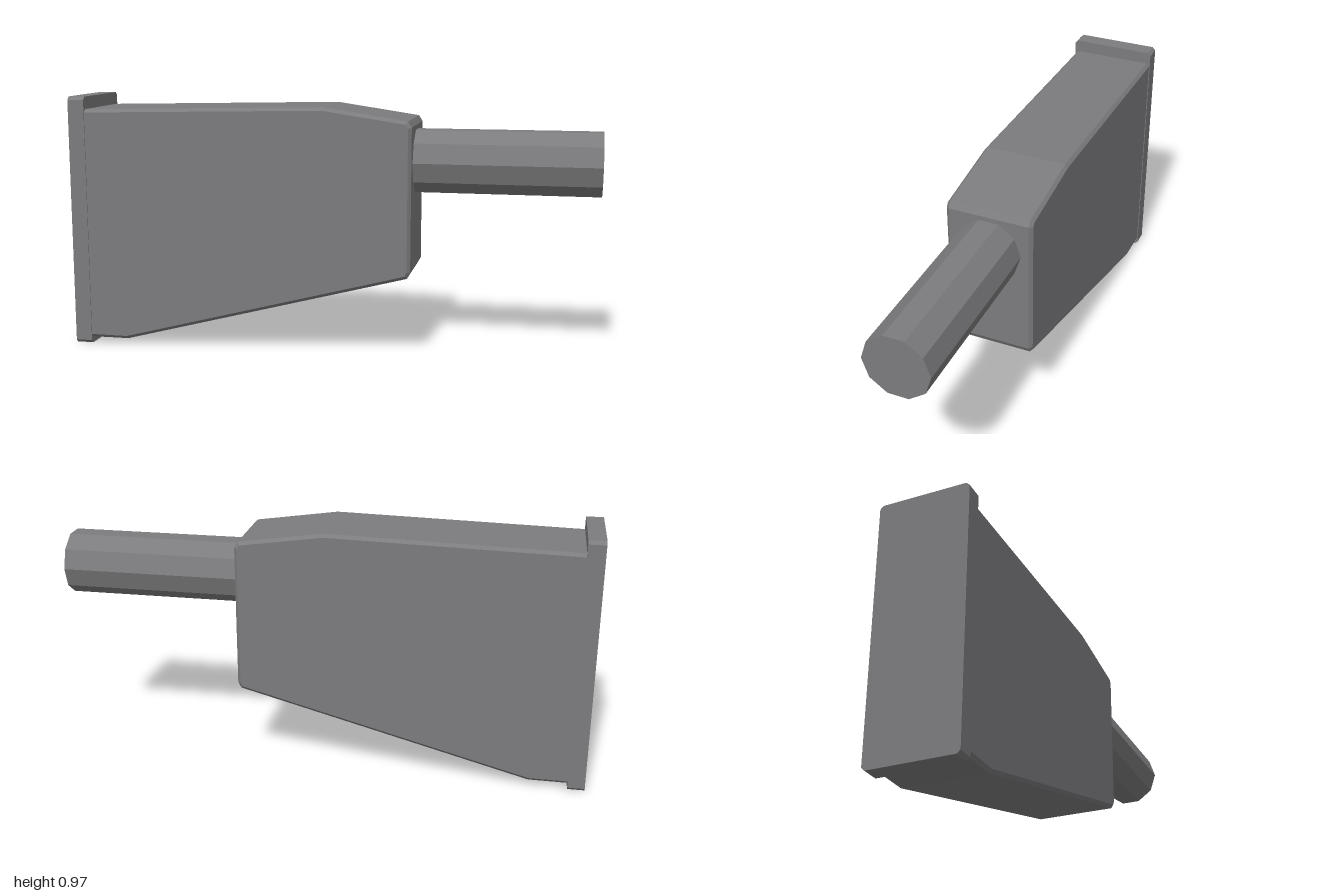
import * as THREE from 'three';

export function createModel() {
  const model = new THREE.Group();
  const grey = new THREE.MeshStandardMaterial({ color: 0x7c7c7e, flatShading: true });
  grey.name = 'grey';

  const add = (name, geometry) => {
    const mesh = new THREE.Mesh(geometry, grey);
    mesh.name = name;
    model.add(mesh);
  };
  const outline = (points) => new THREE.Shape(points.map(([x, y]) => new THREE.Vector2(x, y)));

  // Tapered body with chamfered side edges
  const halfDepth = 0.164, bevel = 0.012;
  const body = new THREE.ExtrudeGeometry(outline([
    [-0.95, 0.026], [-0.79, 0.026], [0.308, 0.314], [0.32, 0.336],
    [0.32, 0.872], [0.306, 0.894], [-0.01, 0.941], [-0.95, 0.92],
  ]), {
    depth: 2 * (halfDepth - bevel), bevelEnabled: true, bevelSegments: 1,
    bevelSize: bevel, bevelThickness: bevel, bevelOffset: -bevel,
  });
  body.translate(0, 0, -(halfDepth - bevel));
  add('body', body);

  // Rear flange: a plate with cut corners, extruded along x
  const w = 0.167, h = 0.483, c = 0.012;
  const flange = new THREE.ExtrudeGeometry(outline([
    [-w + c, -h], [w - c, -h], [w, -h + c], [w, h - c],
    [w - c, h], [-w + c, h], [-w, h - c], [-w, -h + c],
  ]), { depth: 0.064, bevelEnabled: false });
  flange.rotateY(Math.PI / 2).translate(-1, 0.485, 0);
  add('flange', flange);

  // Ten-sided rod out of the narrow end
  const rod = new THREE.CylinderGeometry(0.122, 0.122, 0.7, 10);
  rod.rotateZ(-Math.PI / 2).translate(0.65, 0.738, 0);
  add('rod', rod);

  return model;
}
